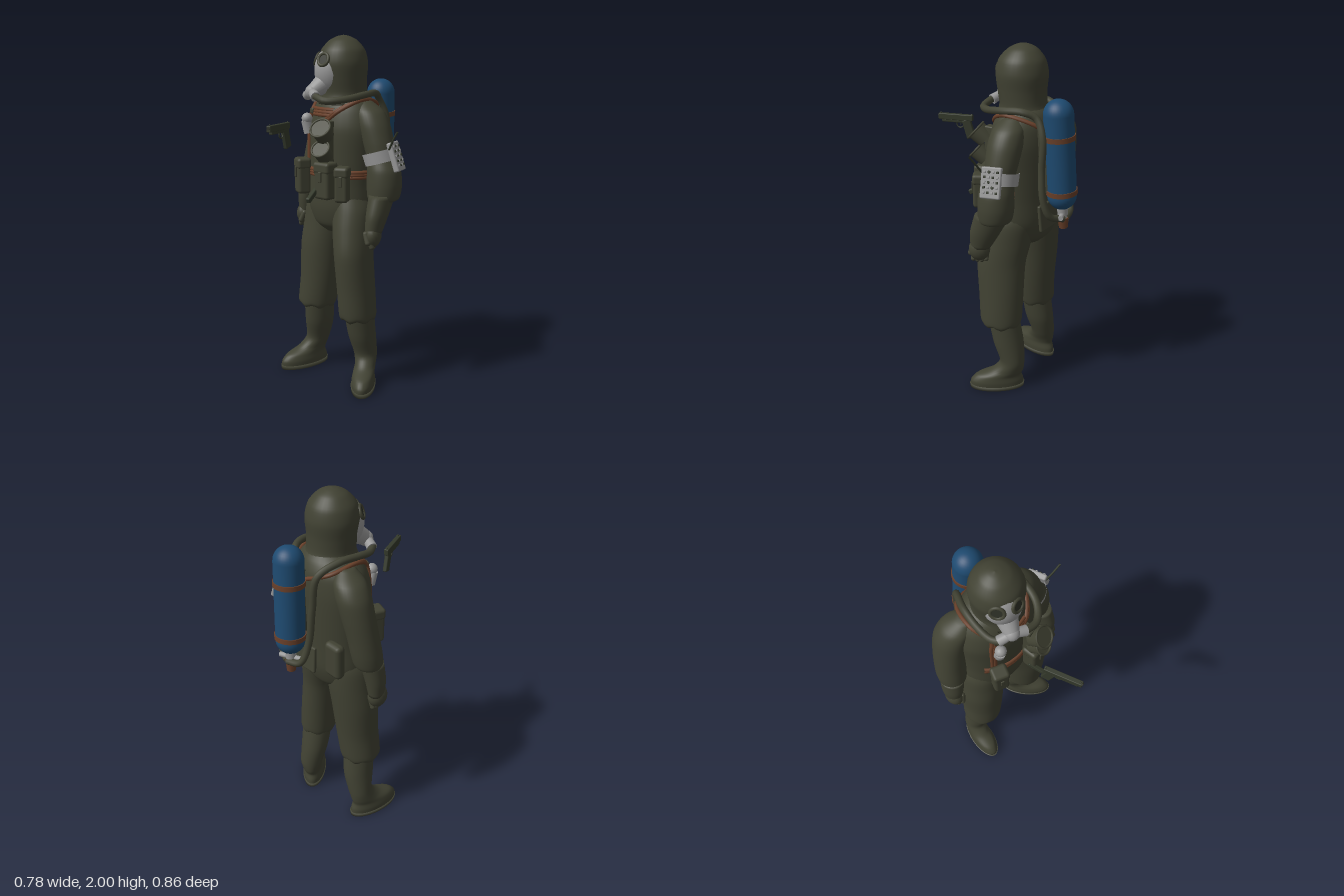
import * as THREE from 'three';
import { RoundedBoxGeometry } from 'three/addons/geometries/RoundedBoxGeometry.js';

const V = (x, y, z) => new THREE.Vector3(x, y, z);
const mat = (name, color) => {
  const m = new THREE.MeshStandardMaterial({ color, side: THREE.DoubleSide });
  m.name = name;
  return m;
};

// Smooth skin through level rings [y, centreX, centreZ, halfWidth, halfDepth], listed bottom up
function loft(rings, yaw = 0, { wave = 0, steps = 5, seg = 32 } = {}) {
  const mid = new THREE.CatmullRomCurve3(rings.map(r => V(r[1], r[0], r[2])), false, 'catmullrom', 0.4);
  const rad = new THREE.CatmullRomCurve3(rings.map(r => V(r[3], 0, r[4] ?? r[3])), false, 'catmullrom', 0.4);
  const rows = (rings.length - 1) * steps, pos = [], idx = [];
  for (let i = -1; i <= rows + 1; i++) {
    const t = Math.min(1, Math.max(0, i / rows)), c = mid.getPoint(t), r = rad.getPoint(t);
    const k = i < 0 || i > rows ? 0.001 : 1;
    for (let j = 0; j < seg; j++) {
      const a = j / seg * Math.PI * 2;
      const lx = Math.cos(a) * Math.max(0.001, r.x) * k, lz = Math.sin(a) * Math.max(0.001, r.z) * k;
      const dy = wave && i >= 0 && t < 0.3 ? wave * Math.sin(a * 7) * (1 - t / 0.3) : 0;
      pos.push(c.x + lx * Math.cos(yaw) + lz * Math.sin(yaw), c.y + dy, c.z - lx * Math.sin(yaw) + lz * Math.cos(yaw));
    }
  }
  for (let i = 0; i < rows + 2; i++) for (let j = 0; j < seg; j++) {
    const a = i * seg + j, b = i * seg + (j + 1) % seg;
    idx.push(a, a + seg, b, b, a + seg, b + seg);
  }
  const g = new THREE.BufferGeometry();
  g.setAttribute('position', new THREE.Float32BufferAttribute(pos, 3));
  g.setIndex(idx);
  g.computeVertexNormals();
  return g;
}

const YAW = -0.4;
const TORSO = [
  [0.91, -0.03, -0.12, 0.1, 0.09], [0.96, -0.03, -0.12, 0.18, 0.138], [1.06, -0.025, -0.12, 0.216, 0.165],
  [1.2, -0.02, -0.12, 0.215, 0.168], [1.36, -0.015, -0.12, 0.222, 0.172], [1.5, -0.01, -0.12, 0.23, 0.172],
  [1.6, -0.005, -0.125, 0.205, 0.157], [1.66, 0, -0.125, 0.16, 0.13], [1.7, 0, -0.12, 0.1, 0.1]];

// Point on the torso surface at a height and an angle in degrees (90 is the chest)
function onTorso(y, deg, off = 0) {
  let i = 0;
  while (i < TORSO.length - 2 && TORSO[i + 1][0] < y) i++;
  const A = TORSO[i], B = TORSO[i + 1], t = (y - A[0]) / (B[0] - A[0]), m = A.map((v, k) => v + (B[k] - v) * t);
  const a = deg * Math.PI / 180, lx = Math.cos(a) * (m[3] + off), lz = Math.sin(a) * (m[4] + off);
  return V(m[1] + lx * Math.cos(YAW) + lz * Math.sin(YAW), y, m[2] - lx * Math.sin(YAW) + lz * Math.cos(YAW));
}

export function createModel() {
  const root = new THREE.Group();
  const olive = mat('olive cloth', 0x414233), blue = mat('blue paint', 0x1e4a70), grey = mat('grey rubber', 0x989898);
  const brown = mat('brown leather', 0x683f29), dark = mat('dark green metal', 0x34392b), glass = mat('dark lens', 0x2c2e25);

  const add = (name, geo, m, p = [0, 0, 0], r = [0, 0, 0], parent = root) => {
    const mesh = new THREE.Mesh(geo, m);
    mesh.name = name;
    mesh.position.set(...p);
    mesh.rotation.set(...r);
    parent.add(mesh);
    return mesh;
  };
  const box = (w, h, d, r = 0.008) => new RoundedBoxGeometry(w, h, d, 2, Math.min(r, w / 2.1, h / 2.1, d / 2.1));
  const cyl = (r1, r2, h, s = 24) => new THREE.CylinderGeometry(r1, r2, h, s);
  const tube = (name, pts, r, m) => add(name, new THREE.TubeGeometry(new THREE.CatmullRomCurve3(
    pts.map(p => p.isVector3 ? p : V(...p))), 60, r, 10), m);
  const group = (name, p, r = [0, 0, 0]) => {
    const g = new THREE.Group();
    g.name = name;
    g.position.set(...p);
    g.rotation.set(...r);
    root.add(g);
    return g;
  };

  // Suit body
  add('torso', loft(TORSO, YAW), olive);
  add('leftTrouser', loft([[0.42, 0.13, -0.02, 0.095, 0.105], [0.45, 0.13, -0.018, 0.105, 0.12], [0.6, 0.12, -0.016, 0.106, 0.127],
    [0.8, 0.105, -0.013, 0.106, 0.137], [0.94, 0.09, -0.04, 0.114, 0.138], [1.06, 0.08, -0.065, 0.117, 0.13],
    [1.16, 0.06, -0.08, 0.1, 0.11]], 0, { wave: 0.008 }), olive);
  add('rightTrouser', loft([[0.42, -0.195, -0.145, 0.105], [0.45, -0.195, -0.145, 0.116], [0.6, -0.175, -0.145, 0.12],
    [0.8, -0.16, -0.15, 0.13], [0.94, -0.14, -0.155, 0.13], [1.06, -0.125, -0.155, 0.125], [1.16, -0.1, -0.15, 0.1]], -0.3, { wave: 0.008 }), olive);

  // Boots
  const boots = [
    ['left', 0.33, [0.175, -0.005], [0.16, -0.065], [0.15, -0.09], [0.138, -0.065], [0.13, -0.03]],
    ['right', -0.55, [-0.282, -0.128], [-0.25, -0.175], [-0.222, -0.195], [-0.2, -0.175], [-0.19, -0.15]]];
  for (const [side, yaw, sole, instep, ankle, calf, top] of boots) {
    add(side + 'Boot', loft([[0.015, ...sole, 0.067, 0.157], [0.05, ...sole, 0.068, 0.155], [0.085, sole[0] * 0.8 + instep[0] * 0.2,
      sole[1] * 0.8 + instep[1] * 0.2, 0.063, 0.132], [0.12, ...instep, 0.061, 0.094], [0.18, ...ankle, 0.068, 0.072],
      [0.3, ...calf, 0.081, 0.088], [0.47, ...top, 0.088, 0.09]], yaw), olive);
    add(side + 'Sole', loft([[0, ...sole, 0.069, 0.16], [0.024, ...sole, 0.072, 0.163]], yaw, { steps: 1 }), olive);
  }

  // Arms: sloping shoulder, puffed sleeve, forearm and closed glove
  const arms = [
    ['left', 0.2, [[1.12, 0.275, -0.01, 0.06], [1.14, 0.276, -0.025, 0.088], [1.21, 0.278, -0.03, 0.096], [1.29, 0.273, -0.032, 0.092],
      [1.36, 0.252, -0.042, 0.08], [1.44, 0.228, -0.05, 0.087], [1.53, 0.195, -0.06, 0.092], [1.6, 0.165, -0.07, 0.08], [1.655, 0.125, -0.085, 0.04]],
      [[0.96, 0.257, 0.062, 0.045, 0.055], [1.05, 0.266, 0.035, 0.058, 0.08], [1.16, 0.275, -0.01, 0.068, 0.095]], [0.257, 0.935, 0.068]],
    ['right', -0.4, [[1.13, -0.285, -0.245, 0.055], [1.15, -0.275, -0.25, 0.076], [1.22, -0.265, -0.258, 0.082], [1.32, -0.247, -0.265, 0.083],
      [1.43, -0.22, -0.268, 0.087], [1.53, -0.19, -0.262, 0.091], [1.6, -0.16, -0.24, 0.08], [1.655, -0.125, -0.205, 0.04]],
      [[0.96, -0.32, -0.24, 0.042, 0.05], [1.05, -0.312, -0.24, 0.054, 0.062], [1.16, -0.29, -0.245, 0.062, 0.068]], [-0.325, 0.935, -0.235]]];
  for (const [side, yaw, sleeve, forearm, hand] of arms) {
    const s = side === 'left' ? 1 : -1;
    add(side + 'Sleeve', loft(sleeve), olive);
    add(side + 'Forearm', loft(forearm), olive);
    const g = group(side + 'Glove', hand, [0, yaw, 0]);
    add('palm', new THREE.SphereGeometry(1, 20, 14), olive, [0, 0.01, 0], [0, 0, 0], g).scale.set(0.046, 0.066, 0.058);
    for (let i = 0; i < 4; i++)
      add('finger', new THREE.CapsuleGeometry(0.0145, 0.035, 4, 10), olive, [-s * 0.006, -0.04 + Math.abs(i - 1.5) * 0.005, 0.034 - i * 0.023], [0, 0, s * 0.4], g);
    add('thumb', new THREE.CapsuleGeometry(0.016, 0.05, 4, 10), olive, [-s * 0.025, 0, 0.042], [-0.3, 0, s * 0.3], g);
  }

  // Hood
  add('hood', loft([[1.63, 0, -0.115, 0.15], [1.69, 0, -0.105, 0.126], [1.77, -0.003, -0.097, 0.13], [1.85, -0.004, -0.095, 0.137],
    [1.92, -0.004, -0.095, 0.12], [1.97, -0.004, -0.098, 0.077], [1.992, -0.004, -0.1, 0.035], [1.999, -0.004, -0.1, 0.002]]), olive);

  // Breathing mask
  const mask = group('mask', [0, 0, -0.1], [0, -0.75, 0]);
  add('facePiece', new THREE.SphereGeometry(1, 28, 20), grey, [0, 1.81, 0.068], [0, 0, 0], mask).scale.set(0.1, 0.13, 0.1);
  add('snout', cyl(0.038, 0.062, 0.1), grey, [0, 1.725, 0.145], [Math.PI / 2 + 0.6, 0, 0], mask);
  add('snoutCap', new THREE.SphereGeometry(0.041, 18, 12), grey, [0, 1.698, 0.184], [0, 0, 0], mask);
  for (const s of [-1, 1]) {
    add('outlet', cyl(0.024, 0.028, 0.06, 18), grey, [s * 0.042, 1.686, 0.19], [0, 0, s * 1.2], mask);
    add('eyeRing', new THREE.TorusGeometry(0.033, 0.009, 10, 24), olive, [s * 0.05, 1.87, 0.138], [-0.4, s * 0.5, 0], mask);
    add('lens', new THREE.CircleGeometry(0.031, 24), glass, [s * 0.0505, 1.8705, 0.141], [-0.4, s * 0.5, 0], mask);
  }

  // Air hoses
  tube('leftHose', [[-0.085, 1.68, 0.085], [-0.01, 1.66, 0.112], [0.08, 1.665, 0.07], [0.15, 1.685, -0.04], [0.17, 1.69, -0.14],
    [0.16, 1.66, -0.21], [0.19, 1.56, -0.25], [0.2, 1.4, -0.25], [0.215, 1.24, -0.265], [0.2, 1.15, -0.3], [0.14, 1.12, -0.36]], 0.019, olive);
  tube('rightHose', [[-0.18, 1.68, 0.005], [-0.185, 1.67, -0.05], [-0.16, 1.68, -0.13], [-0.1, 1.68, -0.23], [-0.02, 1.62, -0.31],
    [0.0, 1.45, -0.33], [0.015, 1.25, -0.35], [0.05, 1.14, -0.38], [0.13, 1.12, -0.37]], 0.019, olive);

  // Air tank with straps and valve
  const tank = group('airTank', [0.125, 1.465, -0.33], [0.07, 0, -0.02]);
  add('cylinder', new THREE.CapsuleGeometry(0.078, 0.435, 10, 32), blue, [0, 0, 0], [0, 0, 0], tank);
  for (const y of [0.1, -0.195]) add('tankStrap', cyl(0.083, 0.083, 0.026, 32), brown, [0, y, 0], [0, 0, 0], tank);
  add('valveNeck', cyl(0.03, 0.026, 0.06), grey, [0, -0.315, 0], [0, 0, 0], tank);
  add('valveArm', cyl(0.014, 0.014, 0.13, 12), grey, [0, -0.325, 0], [0, 0, Math.PI / 2], tank);
  add('valveKnob', cyl(0.032, 0.024, 0.06, 10), brown, [0, -0.375, 0], [0, 0, 0], tank);
  add('tankPad', box(0.1, 0.36, 0.07), olive, [-0.01, -0.02, 0.07], [0, 0, 0], tank);

  // Leather harness
  const arc = (y, from, to) => Array.from({ length: 13 }, (_, i) => onTorso(y, from + (to - from) * i / 12, 0.002));
  for (const y of [1.242, 1.256, 1.27]) tube('waistBelt', arc(y, -25, 140), 0.011, brown);
  for (const y of [1.575, 1.59, 1.605]) tube('chestStrap', arc(y, 68, 125), 0.011, brown);
  for (const d of [-2, 2]) {
    tube('rightShoulderStrap', [onTorso(1.26, 125 + d), onTorso(1.4, 125 + d), onTorso(1.52, 125 + d), onTorso(1.6, 125 + d, 0.004),
      onTorso(1.66, 170, 0.01), onTorso(1.63, 230, 0.012), V(0.07, 1.57, -0.27)], 0.011, brown);
    tube('leftShoulderStrap', [onTorso(1.55, 80 + d), onTorso(1.6, 62 + d, 0.004), onTorso(1.66, 10, 0.01),
      onTorso(1.63, -50, 0.012), V(0.12, 1.57, -0.27)], 0.011, brown);
  }
  add('buckle', box(0.04, 0.03, 0.02), olive, onTorso(1.59, 118, 0.012).toArray(), [0, -0.75, 0]);

  // Chest pouches
  const pouch = (name, p, size, yaw) => {
    const g = group(name, p, [0, yaw, 0]), [w, h, d] = size;
    add('pocket', box(w, h, d, 0.018), olive, [0, 0, 0], [0, 0, 0], g);
    add('flap', box(w + 0.007, h * 0.32, d + 0.007, 0.018), olive, [0, h * 0.36, 0], [0, 0, 0], g);
    add('tab', box(0.02, h * 0.3, 0.01, 0.004), olive, [0, h * 0.12, d / 2 + 0.004], [0, 0, 0], g);
  };
  pouch('rightPouch', [-0.21, 1.225, 0.002], [0.085, 0.2, 0.075], -0.75);
  pouch('centrePouch', [-0.01, 1.23, 0.11], [0.105, 0.2, 0.085], -0.25);
  pouch('leftPouch', [0.09, 1.215, 0.105], [0.075, 0.19, 0.085], 0.2);
  add('hipHolster', box(0.11, 0.2, 0.06, 0.025), olive, [-0.115, 1.165, -0.315], [0, YAW, 0]);
  add('backFlap', box(0.17, 0.15, 0.02), olive, [0.08, 1.11, -0.268], [0.1, YAW, 0]);

  // Chest lamps on a bracket
  for (const [y, r] of [[1.495, 0.056], [1.385, 0.05]]) {
    const g = group('chestLamp', [-0.015, y, 0.13], [0.85, -0.15, 0]);
    add('lampBody', cyl(r, r * 0.9, 0.075, 28), olive, [0, 0, 0], [0, 0, 0], g);
    add('lampRim', new THREE.TorusGeometry(r, 0.006, 8, 28), olive, [0, 0.038, 0], [Math.PI / 2, 0, 0], g);
  }
  add('lampBracket', box(0.05, 0.28, 0.06), olive, [-0.015, 1.41, 0.075], [0, -0.3, 0]);
  add('beltTorch', box(0.024, 0.03, 0.13, 0.006), dark, [-0.06, 1.16, 0.16], [0.45, 0, 0]);
  add('regulator', cyl(0.026, 0.03, 0.07, 18), grey, [-0.18, 1.505, -0.005], [0.2, 0, 0.2]);
  add('regulatorDial', new THREE.SphereGeometry(0.03, 16, 12), grey, [-0.18, 1.55, 0.0]);

  // Forearm communicator
  add('armBand', new THREE.CylinderGeometry(0.1, 0.096, 0.065, 32, 1, true), grey, [0.252, 1.36, -0.045], [0, 0, 0.28]);
  const comm = group('communicator', [0.345, 1.368, -0.025], [0, 0, 0.32]);
  add('case', box(0.032, 0.16, 0.105), grey, [0, 0, 0], [0, 0, 0], comm);
  for (let i = 0; i < 5; i++) for (let j = 0; j < 4; j++)
    add('key', box(0.012, 0.013, 0.013, 0.003), (i + j) % 2 ? grey : dark, [0.016, 0.055 - i * 0.026, -0.033 + j * 0.022], [0, 0, 0], comm);
  tube('antenna', [[0.325, 1.41, 0.025], [0.355, 1.46, 0.05], [0.388, 1.51, 0.072]], 0.0055, dark);

  // Pistol held out ahead of the chest
  const gun = group('pistol', [-0.17, 1.5, 0.32]);
  add('slide', box(0.025, 0.034, 0.2, 0.004), dark, [0, 0.034, 0.005], [0, 0, 0], gun);
  add('frame', box(0.022, 0.018, 0.17, 0.004), dark, [0, 0.012, 0], [0, 0, 0], gun);
  add('grip', box(0.024, 0.11, 0.05, 0.006), dark, [0, -0.03, -0.07], [0.28, 0, 0], gun);
  add('triggerGuard', new THREE.TorusGeometry(0.02, 0.004, 6, 18), dark, [0, -0.006, -0.02], [0, Math.PI / 2, 0], gun);
  add('trigger', box(0.006, 0.02, 0.006, 0.002), dark, [0, -0.004, -0.024], [-0.2, 0, 0], gun);
  add('muzzle', cyl(0.008, 0.008, 0.01, 12), glass, [0, 0.037, 0.103], [Math.PI / 2, 0, 0], gun);
  for (const z of [-0.088, 0.092]) add('sight', box(0.006, 0.008, 0.008, 0.002), dark, [0, 0.053, z], [0, 0, 0], gun);

  return root;
}
